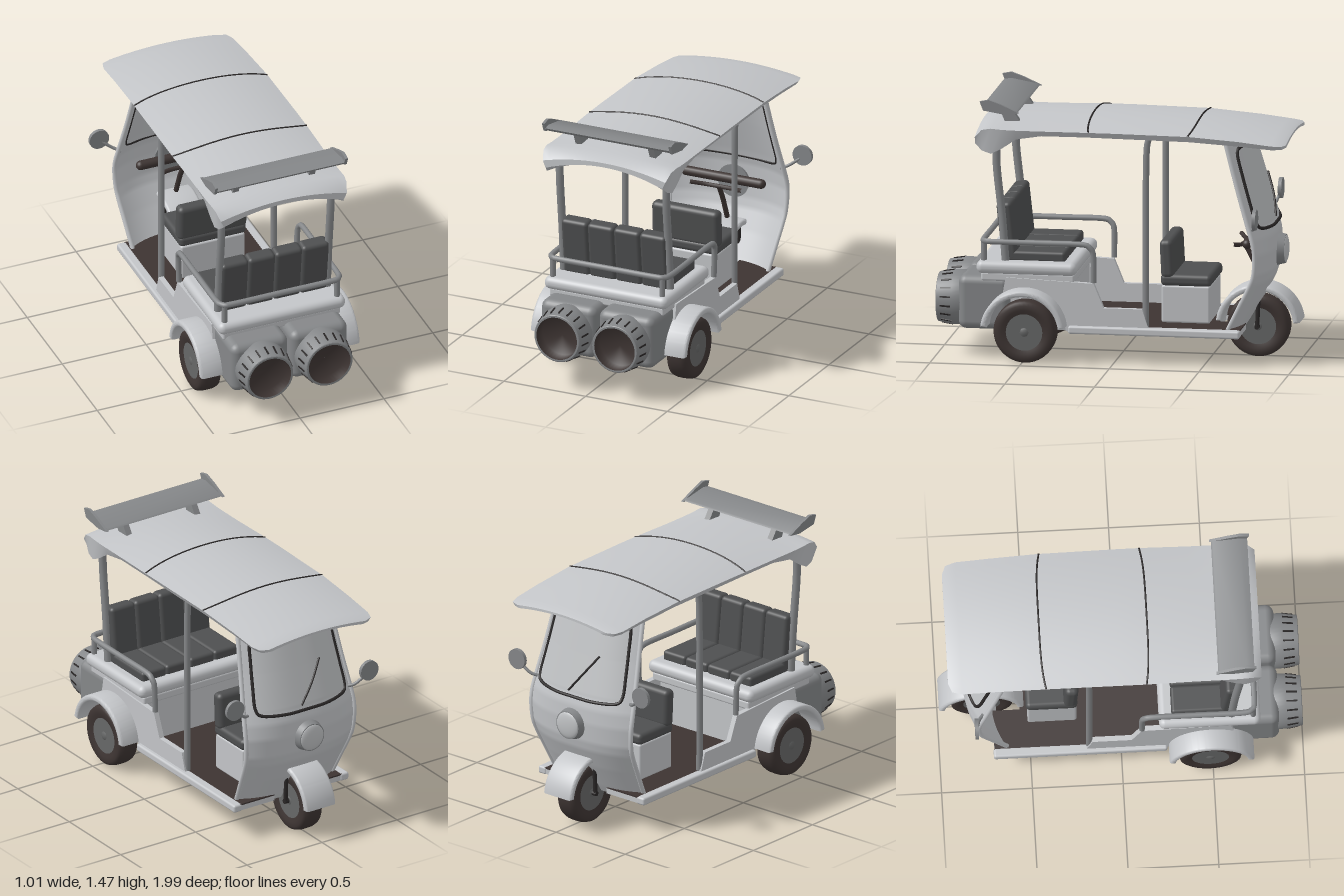
import * as THREE from 'three';
import { toCreasedNormals } from 'three/addons/utils/BufferGeometryUtils.js';
import { RoundedBoxGeometry } from 'three/addons/geometries/RoundedBoxGeometry.js';
import { ParametricGeometry } from 'three/addons/geometries/ParametricGeometry.js';

const V = (x, y, z) => new THREE.Vector3(x, y, z);
const mat = (name, color, side = THREE.FrontSide) => {
  const m = new THREE.MeshStandardMaterial({ color, side });
  m.name = name;
  return m;
};

export function createModel() {
  const root = new THREE.Group();
  root.name = 'threeWheeledTaxi';
  const paint = mat('lightGreyPaint', 0xc3c5c8, THREE.DoubleSide);
  const metal = mat('midGreyMetal', 0x858789);
  const vinyl = mat('darkGreyVinyl', 0x4e4f50);
  const rubber = mat('brownBlackRubber', 0x3d3432);
  const hubGrey = mat('hubGrey', 0x666767);
  const black = mat('blackTrim', 0x2a2727);
  const glass = mat('paleGlass', 0xbfc1c3);

  const add = (name, geo, m, x = 0, y = 0, z = 0, parent = root) => {
    const mesh = new THREE.Mesh(geo, m);
    mesh.name = name;
    mesh.position.set(x, y, z);
    parent.add(mesh);
    return mesh;
  };
  // box given by its limits on each axis
  const box = (name, m, x0, x1, y0, y1, z0, z1, r = 0.012) =>
    add(name, new RoundedBoxGeometry(x1 - x0, y1 - y0, z1 - z0, 3, r), m, (x0 + x1) / 2, (y0 + y1) / 2, (z0 + z1) / 2);
  const tube = (name, m, pts, r, closed = false, tension = 0.5) =>
    add(name, new THREE.TubeGeometry(new THREE.CatmullRomCurve3(pts, closed, 'catmullrom', tension), pts.length * 8, r, 10, closed), m);
  // (z, y) outline extruded along x
  const slab = (name, m, shape, x0, x1, bevel = 0) => {
    const g = new THREE.ExtrudeGeometry(shape, {
      depth: x1 - x0 - 2 * bevel, bevelEnabled: bevel > 0, bevelSize: bevel, bevelThickness: bevel,
      bevelOffset: -bevel, bevelSegments: 3, curveSegments: 32,
    });
    g.rotateY(-Math.PI / 2).translate(x1 - bevel, 0, 0);
    return add(name, toCreasedNormals(g, 0.6), m);
  };
  const outline = (pts) => new THREE.Shape(pts.map((p) => new THREE.Vector2(...p)));
  // linear lookup in a table sorted by its first column
  const lookup = (rows, k) => {
    let i = 0;
    while (i < rows.length - 2 && k > rows[i + 1][0]) i++;
    const f = (k - rows[i][0]) / (rows[i + 1][0] - rows[i][0]);
    return rows[i].map((a, j) => a + (rows[i + 1][j] - a) * f);
  };

  // ---- roof: z, half width, crown, edge, lower lip, inner crown
  const roof = [
    [-0.955, 0.32, 1.275, 1.25, 1.235, 1.262], [-0.935, 0.37, 1.283, 1.25, 1.23, 1.262],
    [-0.88, 0.387, 1.293, 1.255, 1.23, 1.27], [-0.7, 0.391, 1.32, 1.275, 1.245, 1.295],
    [-0.43, 0.397, 1.345, 1.295, 1.262, 1.32], [0, 0.4, 1.355, 1.3, 1.268, 1.33],
    [0.15, 0.4, 1.354, 1.3, 1.27, 1.33], [0.4, 0.396, 1.345, 1.298, 1.268, 1.318],
    [0.54, 0.396, 1.337, 1.298, 1.245, 1.305], [0.62, 0.396, 1.332, 1.3, 1.19, 1.29],
    [0.68, 0.396, 1.328, 1.305, 1.16, 1.275], [0.73, 0.39, 1.318, 1.295, 1.175, 1.27],
    [0.77, 0.375, 1.3, 1.25, 1.21, 1.275],
  ];
  const N = 20, L = 2 * (N + 1), pos = [], idx = [];
  for (const [z, w, top, edge, lip, inner] of roof) {
    for (let i = 0; i <= N; i++) { const u = 2 * i / N - 1; pos.push(w * u, top - (top - edge) * u * u, z); }
    for (let i = N; i >= 0; i--) { const u = 2 * i / N - 1; pos.push(0.95 * w * u, inner - (inner - lip) * u * u, z); }
  }
  for (let s = 0; s < roof.length - 1; s++) for (let i = 0; i < L; i++) {
    const a = s * L + i, b = s * L + (i + 1) % L;
    idx.push(a, a + L, b + L, a, b + L, b);
  }
  const last = (roof.length - 1) * L;
  for (let i = 0; i < N; i++) {
    const j = L - 1 - i;
    idx.push(i, i + 1, j - 1, i, j - 1, j);
    idx.push(last + i, last + j - 1, last + i + 1, last + i, last + j, last + j - 1);
  }
  const roofGeo = new THREE.BufferGeometry();
  roofGeo.setAttribute('position', new THREE.Float32BufferAttribute(pos, 3));
  roofGeo.setIndex(idx);
  add('roof', toCreasedNormals(roofGeo, 0.7), paint);
  for (const [z0, bow] of [[-0.44, 0.022], [0.155, -0.02]]) {
    const pts = [];
    for (let u = -1; u <= 1.001; u += 0.125) {
      const z = z0 + bow * u ** 4, [, w, top, edge] = lookup(roof, z);
      pts.push(V(w * u, top - (top - edge) * u * u, z));
    }
    tube('roofSeam', black, pts, 0.005);
  }

  // ---- rear spoiler
  slab('spoilerBlade', metal, outline([[0.73, 1.425], [0.69, 1.432], [0.54, 1.405], [0.53, 1.397], [0.6, 1.4], [0.72, 1.41]]), -0.38, 0.38);
  for (const s of [-1, 1]) {
    slab('spoilerEndPlate', metal, outline([[0.74, 1.455], [0.69, 1.465], [0.62, 1.44], [0.52, 1.395], [0.6, 1.385], [0.72, 1.405]]), s * 0.387 - 0.008, s * 0.387 + 0.008);
    slab('spoilerStrut', metal, outline([[0.665, 1.415], [0.6, 1.41], [0.54, 1.32], [0.62, 1.31]]), s * 0.227 - 0.018, s * 0.227 + 0.018);
  }

  // ---- cab shell: y, z at middle, z at side, half width
  const cab = [
    [0.165, -0.68, -0.61, 0.315], [0.22, -0.715, -0.64, 0.32], [0.35, -0.79, -0.705, 0.335], [0.45, -0.84, -0.755, 0.347],
    [0.52, -0.86, -0.78, 0.354], [0.62, -0.869, -0.787, 0.36], [0.7, -0.865, -0.775, 0.36], [0.8, -0.84, -0.745, 0.35],
    [1.0, -0.78, -0.685, 0.327], [1.29, -0.695, -0.605, 0.3],
  ];
  const skin = (u, y, lift = 0) => {
    const [, zc, ze, w] = lookup(cab, y);
    return V(w * u, y, zc + (ze - zc) * Math.abs(u) ** 2.8 - lift);
  };
  const panel = (u0, u1, yTop, yLow, lift) =>
    new ParametricGeometry((a, b, t) => t.copy(skin(u0 + (u1 - u0) * a, yTop + (yLow - yTop) * b, lift)), 28, 40);
  add('cabShell', panel(-1, 1, 1.29, 0.165, 0), paint);
  for (const s of [-1, 1]) {
    tube('cabEdge', paint, cab.map((r) => skin(s, r[0])), 0.013);
  }
  add('windscreen', panel(-0.84, 0.84, 1.2, 0.78, 0.005), glass);
  const rim = [], half = [[-0.76, 1.21], [-0.4, 1.215], [0, 1.215], [0.4, 1.215], [0.76, 1.21], [0.85, 1.175], [0.86, 1.05], [0.86, 0.92], [0.85, 0.81], [0.76, 0.77], [0.4, 0.76], [0, 0.76], [-0.4, 0.76], [-0.76, 0.77], [-0.85, 0.81], [-0.86, 0.92], [-0.86, 1.05], [-0.85, 1.175]];
  half.forEach(([u, y]) => rim.push(skin(u, y, 0.006)));
  tube('windscreenSeal', black, rim, 0.009, true);
  tube('wiperArm', black, [skin(0.1, 0.79, 0.012), skin(-0.15, 0.9, 0.018), skin(-0.4, 1.01, 0.012)], 0.006);

  // headlight
  add('headlightRim', new THREE.CylinderGeometry(0.08, 0.095, 0.06, 36).rotateX(-Math.PI / 2), metal, 0, 0.605, -0.875);
  add('headlightLens', new THREE.SphereGeometry(0.078, 32, 16).scale(1, 1, 0.25), glass, 0, 0.605, -0.9);

  // mirrors
  for (const s of [-1, 1]) {
    tube('mirrorArm', metal, [V(s * 0.33, 0.77, -0.76), V(s * 0.37, 0.785, -0.785), V(s * 0.43, 0.83, -0.8)], 0.009);
    add('mirror', new THREE.CylinderGeometry(0.058, 0.058, 0.02, 32).rotateX(Math.PI / 2), metal, s * 0.447, 0.852, -0.803);
  }

  // dashboard and steering
  add('dashboard', new THREE.CapsuleGeometry(0.027, 0.46, 6, 16).rotateZ(Math.PI / 2), rubber, 0, 0.67, -0.725);
  tube('handlebar', rubber, [V(-0.16, 0.65, -0.63), V(-0.07, 0.635, -0.67), V(0.07, 0.635, -0.67), V(0.16, 0.65, -0.63)], 0.012);
  tube('steeringColumn', rubber, [V(0, 0.64, -0.665), V(0, 0.55, -0.715), V(0, 0.42, -0.77)], 0.014);

  // ---- wheels and fenders
  const wheel = (name, x, z, w) => {
    const g = new THREE.Group();
    g.name = name;
    g.position.set(x, 0.175, z);
    root.add(g);
    const p = [[0.1, -0.85], [0.125, -0.97], [0.15, -1], [0.167, -0.85], [0.174, -0.5], [0.175, 0], [0.174, 0.5], [0.167, 0.85], [0.15, 1], [0.125, 0.97], [0.1, 0.85]];
    add('tyre', new THREE.LatheGeometry(p.map(([r, h]) => new THREE.Vector2(r, h * w)), 40).rotateZ(Math.PI / 2), rubber, 0, 0, 0, g);
    add('hub', new THREE.CylinderGeometry(0.105, 0.105, w * 1.72, 32).rotateZ(Math.PI / 2), hubGrey, 0, 0, 0, g);
    add('hubCap', new THREE.SphereGeometry(0.055, 24, 12).scale((w * 0.97) / 0.055, 1, 1), hubGrey, 0, 0, 0, g);
  };
  const fender = (name, z, x0, x1) => {
    const sh = new THREE.Shape();
    sh.absarc(z, 0.178, 0.235, 0.12, Math.PI - 0.12, false);
    sh.absarc(z, 0.178, 0.2, Math.PI - 0.12, 0.12, true);
    slab(name, paint, sh, x0, x1, 0.014);
  };
  wheel('frontWheel', 0, -0.755, 0.062);
  fender('frontFender', -0.76, -0.1, 0.1);
  for (const s of [-1, 1]) {
    wheel('rearWheel', s * 0.382, 0.485, 0.063);
    fender('rearFender', 0.492, s > 0 ? 0.315 : -0.475, s > 0 ? 0.475 : -0.315);
    tube('frontFork', black, [V(s * 0.075, 0.4, -0.765), V(s * 0.075, 0.175, -0.755)], 0.012);
  }
  add('frontAxle', new THREE.CylinderGeometry(0.014, 0.014, 0.17, 12).rotateZ(Math.PI / 2), black, 0, 0.175, -0.755);

  // ---- chassis: floor with wheel notch, sills, side panels
  const floor = (name, m, y0, h) => {
    const sh = outline([[-0.34, -0.62], [-0.34, 0.7], [-0.11, 0.7], [-0.11, 0.55], [0.11, 0.55], [0.11, 0.7], [0.34, 0.7], [0.34, -0.25], [0.3, -0.25], [0.3, -0.62], [-0.3, -0.62], [-0.3, -0.25], [-0.34, -0.25]].slice(1));
    add(name, new THREE.ExtrudeGeometry(sh, { depth: h, bevelEnabled: false }).rotateX(-Math.PI / 2), m, 0, y0, 0);
  };
  floor('floorPan', paint, 0.168, 0.03);
  floor('floorMat', rubber, 0.198, 0.008);
  box('benchBase', paint, -0.312, 0.312, 0.17, 0.49, 0.24, 0.64);
  box('rearDeck', paint, -0.35, 0.35, 0.44, 0.49, 0.22, 0.74);
  for (const s of [-1, 1]) {
    box('sill', paint, s * 0.355 - 0.028, s * 0.355 + 0.028, 0.163, 0.207, -0.705, 0.25);
    const side = outline([[0.6, 0.465], [0.11, 0.445], [0.055, 0.31], [-0.16, 0.31], [-0.195, 0.2], [-0.195, 0.17], [0.25, 0.17]]);
    side.absarc(0.485, 0.178, 0.22, Math.PI, 0.9, true);
    slab('sidePanel', paint, side, s * 0.345 - 0.015, s * 0.345 + 0.015);
    // roof poles
    tube('rearPole', metal, [V(s * 0.325, 0.54, 0.605), V(s * 0.325, 0.8, 0.625), V(s * 0.325, 1.08, 0.655), V(s * 0.33, 1.25, 0.655)], 0.022);
    tube('centrePole', metal, [V(s * 0.335, 0.2, -0.178), V(s * 0.335, 0.7, -0.178), V(s * 0.335, 1.2, -0.182), V(s * 0.335, 1.29, -0.215)], 0.018);
    tube('railPost', metal, [V(s * 0.335, 0.52, 0.725), V(s * 0.335, 0.66, 0.725)], 0.016);
  }

  // ---- passenger bench and rail
  box('benchTray', paint, -0.378, 0.378, 0.482, 0.556, 0.205, 0.765, 0.035);
  const rail = [[0.35, 0.45, 0.112], [0.355, 0.6, 0.112], [0.36, 0.645, 0.13], [0.362, 0.664, 0.18], [0.362, 0.664, 0.4], [0.362, 0.664, 0.66], [0.345, 0.664, 0.718], [0.29, 0.664, 0.733]];
  tube('passengerRail', metal, [...rail.map((p) => V(...p)), V(0, 0.664, 0.733), ...rail.map(([x, y, z]) => V(-x, y, z)).reverse()], 0.016);
  for (let i = 0; i < 4; i++) {
    const x = -0.24 + 0.16 * i;
    box('benchCushion', vinyl, x - 0.08, x + 0.08, 0.545, 0.607, 0.275, 0.6, 0.018);
    const back = box('benchBack', vinyl, x - 0.0805, x + 0.0805, 0.545, 0.875, 0.56, 0.645, 0.022);
    back.rotation.x = 0.11;
  }

  // ---- driver seat
  box('driverSeatBox', paint, -0.19, 0.19, 0.205, 0.415, -0.51, -0.24);
  box('driverCushion', vinyl, -0.2, 0.2, 0.412, 0.478, -0.52, -0.235, 0.025);
  box('driverBack', vinyl, -0.205, 0.205, 0.455, 0.67, -0.307, -0.233, 0.028).rotation.x = 0.05;

  // ---- twin rear jets
  const lathe = (p) => new THREE.LatheGeometry(p.map(([r, z]) => new THREE.Vector2(r, z)), 40).rotateX(Math.PI / 2);
  for (const s of [-1, 1]) {
    const x = s * 0.177;
    box('jetHousing', metal, x - 0.17, x + 0.17, 0.163, 0.465, 0.58, 0.87, 0.045);
    add('jetNozzle', toCreasedNormals(lathe([[0.14, 0.82], [0.152, 0.85], [0.152, 0.91], [0.138, 0.997], [0.134, 1], [0.124, 1]]), 0.5), metal, x, 0.31, 0);
    add('jetThroat', lathe([[0.124, 1], [0.12, 0.93], [0.001, 0.93]]), rubber, x, 0.31, 0);
    for (let i = 0; i < 18; i++) {
      const spin = new THREE.Group();
      spin.name = 'jetSlit';
      spin.position.set(x, 0.31, 0.945);
      spin.rotation.z = (i / 18) * Math.PI * 2;
      root.add(spin);
      add('slit', new THREE.BoxGeometry(0.009, 0.007, 0.06), black, 0, 0.147, 0, spin).rotation.x = 0.16;
    }
  }
  return root;
}
